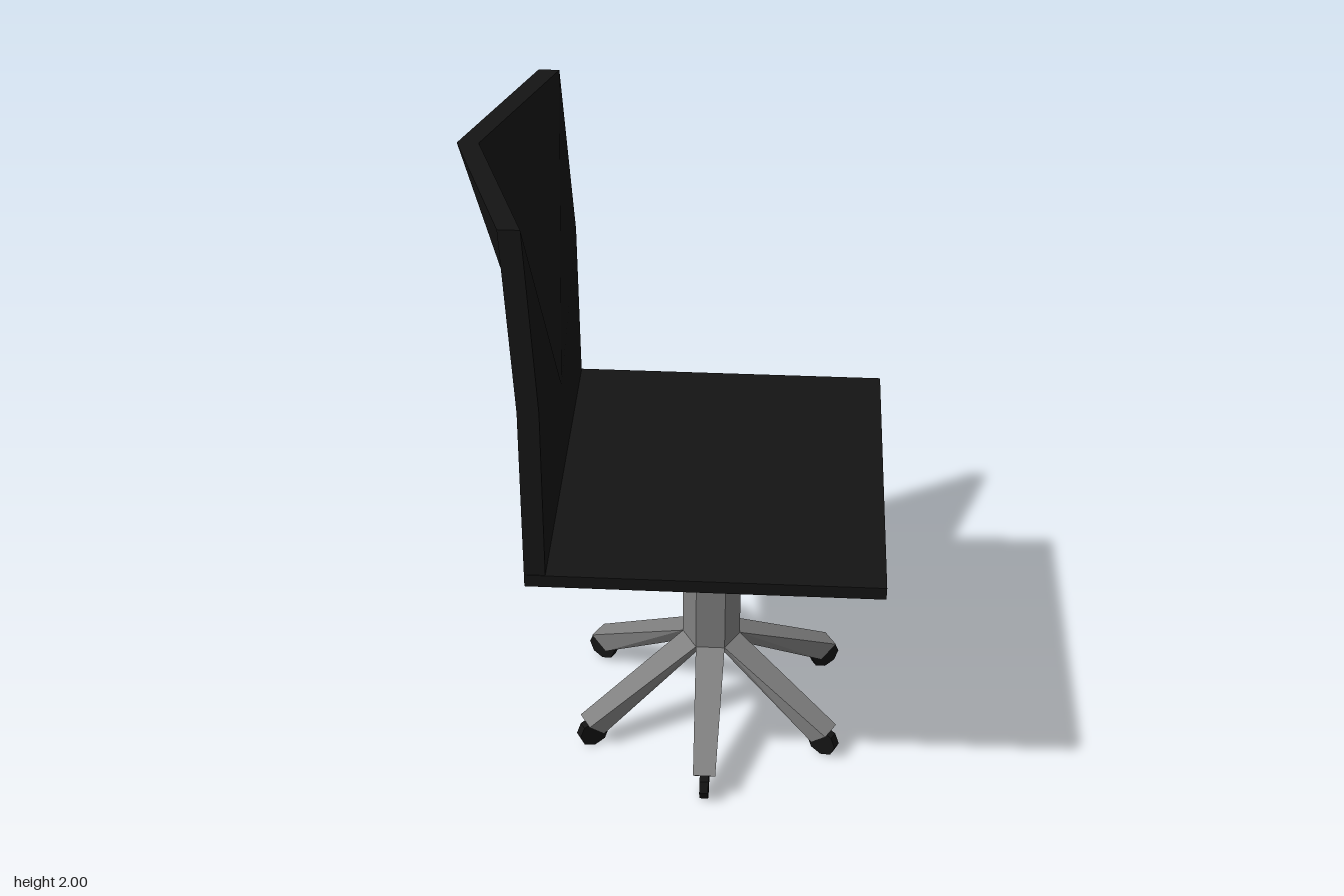
import * as THREE from 'three';
import { ConvexGeometry } from 'three/addons/geometries/ConvexGeometry.js';

const black = new THREE.MeshStandardMaterial({ color: 0x141414, flatShading: true });
const grey = new THREE.MeshStandardMaterial({ color: 0x808080, flatShading: true });

function add(parent, name, geometry, material, x = 0, y = 0, z = 0) {
  const mesh = new THREE.Mesh(geometry, material);
  mesh.name = name;
  mesh.position.set(x, y, z);
  parent.add(mesh);
  return mesh;
}

// Folded backrest: three rows, each a loop of back edge and front edge
function backrestGeometry() {
  const thick = 0.06;
  const rows = [ // side x, y, z, then centre x, y
    [-0.41, 0.89, 0.53, -0.41, 0.89],
    [-0.41, 1.46, 0.5, -0.41, 1.22],
    [-0.44, 2, 0.47, -0.61, 2],
  ];
  const positions = [];
  const index = [];
  for (const [sx, sy, sz, cx, cy] of rows) {
    positions.push(sx, sy, -sz, cx, cy, 0, sx, sy, sz);
    positions.push(sx + thick, sy, sz, cx + thick, cy, 0, sx + thick, sy, -sz);
  }
  for (let r = 0; r < 2; r++) {
    for (let i = 0; i < 6; i++) {
      const a = r * 6 + i, b = r * 6 + (i + 1) % 6, c = b + 6, d = a + 6;
      // diagonals run from the lower centre to the upper sides, mirrored
      if (i === 0 || i === 3) index.push(a, b, d, b, c, d);
      else index.push(a, b, c, a, c, d);
    }
  }
  index.push(12, 13, 16, 12, 16, 17, 13, 14, 15, 13, 15, 16); // top edge
  index.push(0, 4, 1, 0, 5, 4, 1, 3, 2, 1, 4, 3); // bottom edge
  const indexed = new THREE.BufferGeometry();
  indexed.setAttribute('position', new THREE.Float32BufferAttribute(positions, 3));
  indexed.setIndex(index);
  const geometry = indexed.toNonIndexed();
  geometry.computeVertexNormals();
  return geometry;
}

// Tapered leg running outward along +x
function legGeometry() {
  const corners = [ // radius, height, half width
    [0.078, 0.3, 0.045], [0.03, 0.275, 0.018],
    [0.445, 0.1, 0.034], [0.395, 0.05, 0.03],
  ];
  const points = [];
  for (const [r, y, w] of corners) {
    for (const s of [-1, 1]) points.push(new THREE.Vector3(r, y, s * w));
  }
  return new ConvexGeometry(points);
}

export function createModel() {
  const model = new THREE.Group();
  model.name = 'swivelChair';

  // Seat and backrest
  add(model, 'seat', new THREE.BoxGeometry(1.01, 0.04, 1.06), black, 0.1, 0.91, 0);
  add(model, 'backrest', backrestGeometry(), black);

  // Six-sided telescopic column
  const base = new THREE.Group();
  base.name = 'base';
  base.position.x = 0.097;
  model.add(base);
  const hex = (r, h) => new THREE.CylinderGeometry(r, r, h, 6).rotateY(Math.PI / 6);
  add(base, 'upperColumn', hex(0.062, 0.15), grey, 0, 0.825, 0);
  add(base, 'lowerColumn', hex(0.09, 0.46), grey, 0, 0.53, 0);

  // Six legs with a wheel under each end
  const leg = legGeometry();
  const wheel = new THREE.CylinderGeometry(0.049, 0.049, 0.027, 8).rotateX(Math.PI / 2);
  for (let i = 0; i < 6; i++) {
    const arm = new THREE.Group();
    arm.name = 'legAndWheel';
    arm.rotation.y = (i + 0.5) * Math.PI / 3;
    add(arm, 'leg', leg, grey);
    add(arm, 'wheel', wheel, black, 0.42, 0.049, 0);
    base.add(arm);
  }
  return model;
}
